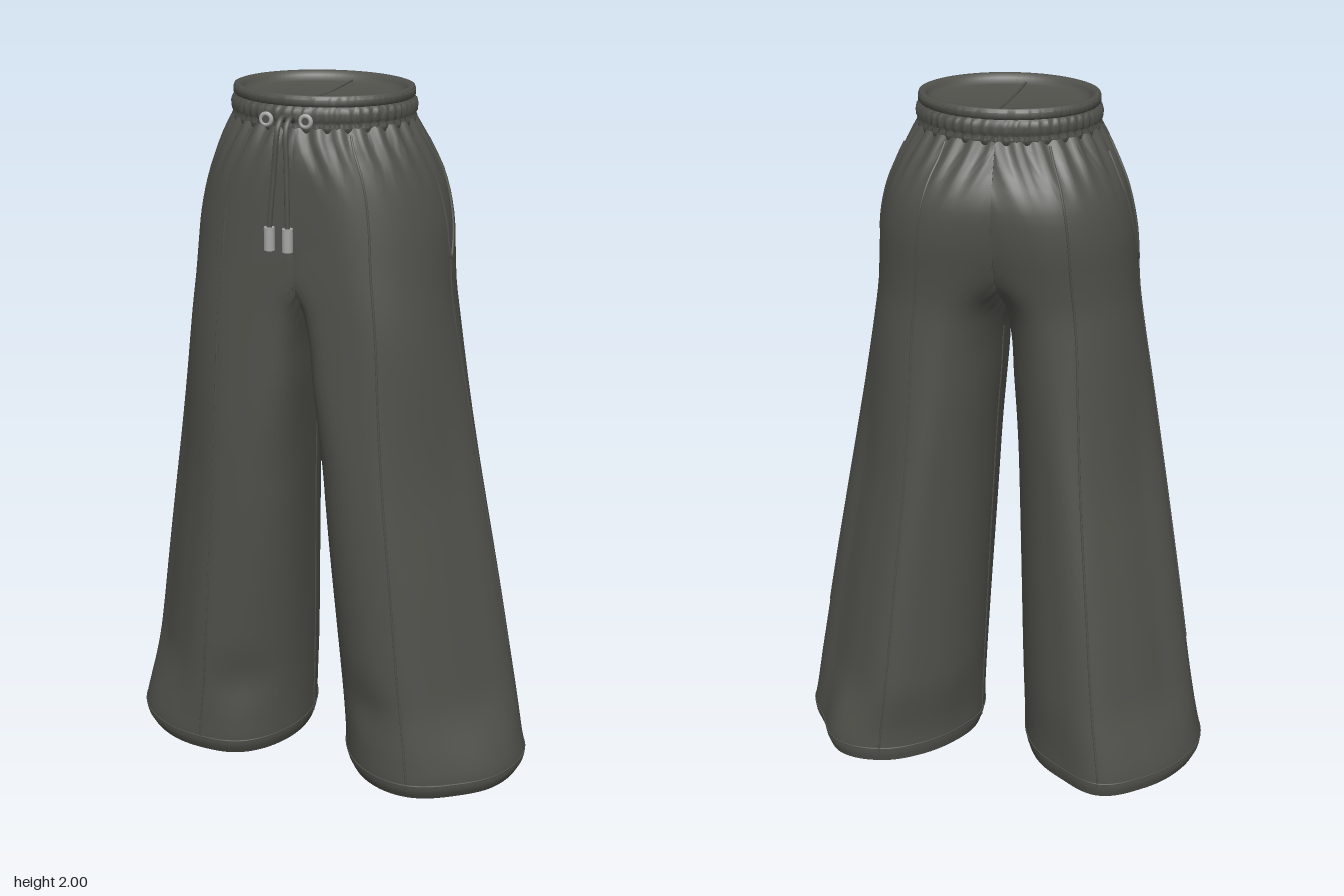
import * as THREE from 'three';
import { toCreasedNormals } from 'three/addons/utils/BufferGeometryUtils.js';

const fabric = new THREE.MeshStandardMaterial({ color: 0x50514b });
fabric.name = 'charcoal fabric';
const metal = new THREE.MeshStandardMaterial({ color: 0xa6a6a4 });
metal.name = 'silver metal';

// Leg profile: height, outer x, centre x, inner x, front z, back z
const PROFILE = [
  [0, 0.595, 0.335, 0.085, 0.28, -0.285],
  [0.035, 0.61, 0.335, 0.074, 0.297, -0.293],
  [0.1, 0.6, 0.33, 0.072, 0.298, -0.29],
  [0.3, 0.565, 0.305, 0.064, 0.292, -0.28],
  [0.6, 0.515, 0.27, 0.052, 0.29, -0.26],
  [1, 0.445, 0.215, 0.034, 0.29, -0.23],
  [1.2, 0.41, 0.19, 0.021, 0.29, -0.215],
  [1.36, 0.382, 0.17, 0.009, 0.29, -0.206],
  [1.46, 0.367, 0.15, -0.03, 0.29, -0.205],
  [1.55, 0.36, 0.125, -0.17, 0.29, -0.218],
  [1.65, 0.351, 0.1, -0.27, 0.29, -0.235],
  [1.75, 0.328, 0.07, -0.3, 0.29, -0.237],
  [1.82, 0.299, 0.04, -0.3, 0.288, -0.214],
  [1.88, 0.267, 0.01, -0.28, 0.278, -0.18],
  [1.92, 0.245, 0, -0.25, 0.262, -0.16],
];

// Roundness of the section every 30 degrees, from the outside towards the front
const MID_SHAPE = [1, 0.87, 0.88, 1, 1.02, 1.03, 1, 0.96, 0.95, 1, 0.88, 0.85];
const LEFT_HEM = [0.99, 1, 0.95, 1, 1.02, 1.02, 1, 0.9, 0.88, 0.94, 0.99, 0.89];
const RIGHT_HEM = [0.99, 1, 0.955, 0.95, 1.03, 1.03, 1, 0.95, 0.93, 1.03, 0.95, 0.94];

// Smooth (Hermite) lookup of one profile column at height y
function track(y, col) {
  const last = PROFILE.length - 1;
  let i = 0;
  while (i < last - 1 && y > PROFILE[i + 1][0]) i++;
  const slope = (k) => {
    const a = PROFILE[Math.max(k - 1, 0)], b = PROFILE[Math.min(k + 1, last)];
    return (b[col] - a[col]) / (b[0] - a[0]);
  };
  const a = PROFILE[i], b = PROFILE[i + 1], h = b[0] - a[0], t = (y - a[0]) / h;
  const t2 = t * t, t3 = t2 * t;
  return (2 * t3 - 3 * t2 + 1) * a[col] + (t3 - 2 * t2 + t) * h * slope(i)
    + (3 * t2 - 2 * t3) * b[col] + (t3 - t2) * h * slope(i + 1);
}

// Smooth lookup in a ring of 12 values
function around(shape, a) {
  const f = (((a / (Math.PI * 2)) % 1) + 1) % 1 * 12, i = Math.floor(f), t = f - i;
  const [p, q, r, s] = [11, 0, 1, 2].map((d) => shape[(i + d) % 12]);
  return q + 0.5 * t * (r - p + t * (2 * p - 5 * q + 4 * r - s + t * (3 * (q - r) + s - p)));
}

const bump = (v, centre, width) => Math.exp(-(((v - centre) / width) ** 2));
const pow = (v, e) => Math.sign(v) * Math.abs(v) ** e;
const { lerp, smoothstep } = THREE.MathUtils;

// Point on a leg; angle 0 = outside, PI/2 = front, PI = inside
function legPoint(side, a, y) {
  const [xo, cx, xi, f, b] = [1, 2, 3, 4, 5].map((c) => track(y, c));
  const c = Math.cos(a), s = Math.sin(a);
  const low = smoothstep(1.2 - y, 0, 1.2);
  // The front inner corner is squarer, so the front stays flat above the crotch
  const square = c < 0 && s > 0 ? smoothstep(y, 0.1, 1) + 2 * smoothstep(y, 0.9, 1.4) : 0;
  const e = 2 / (2 + square);
  // Folded leg shape, turning into the hem outline near the floor
  const hem = around(side > 0 ? LEFT_HEM : RIGHT_HEM, a);
  const body = lerp(around(MID_SHAPE, a), 1, smoothstep(y, 0.85, 1.45));
  // Gathers below the waistband
  const gathers = 0.026 * Math.cos(28 * a) * bump(y, 1.9, 0.085);
  const k = lerp(hem, body, smoothstep(y, 0.06, 0.3)) + gathers;
  let x = cx + (c > 0 ? xo - cx : cx - xi) * pow(c, e) * k;
  let z = (f + b) / 2 + ((f - b) / 2) * pow(s, e) * k;
  // Fabric break on the front above the hem
  z -= 0.016 * bump(y, 0.25, 0.08) * bump(a, 2, 0.4);
  x = Math.max(x, 0);
  if (side < 0) z -= 0.035 * low;
  const lift = 0.02 * (0.5 - 0.5 * s) * Math.max(0, 1 - y / 0.3);
  return new THREE.Vector3(side * x - lerp(0.007, 0.003, low), y + lift, z);
}

// Skin closed rings of points, listed from bottom to top
function loft(rings, flip, crease) {
  const n = rings[0].length, index = [];
  for (let r = 0; r < rings.length - 1; r++) {
    for (let i = 0; i < n; i++) {
      const j = (i + 1) % n;
      const a = r * n + i, b = r * n + j, c = a + n, d = b + n;
      if (flip) index.push(a, b, c, b, d, c);
      else index.push(a, c, b, b, c, d);
    }
  }
  const g = new THREE.BufferGeometry().setFromPoints(rings.flat());
  g.setIndex(index);
  return toCreasedNormals(g, crease);
}

function add(parent, name, geometry, material = fabric) {
  const mesh = new THREE.Mesh(geometry, material);
  mesh.name = name;
  parent.add(mesh);
  return mesh;
}

function tube(points, radius, segments = 40, closed = false) {
  return new THREE.TubeGeometry(new THREE.CatmullRomCurve3(points, closed), segments, radius, 6, closed);
}

function makeLeg(side) {
  const leg = new THREE.Group();
  leg.name = side > 0 ? 'leftLeg' : 'rightLeg';
  const N = 180, rings = [];
  const ring = (y) => Array.from({ length: N }, (_, i) => legPoint(side, (i / N) * Math.PI * 2, y));
  const hem = ring(0);
  const centre = new THREE.Vector3(side * 0.335, 0.018, -0.01);
  rings.push(hem.map(() => centre.clone()), hem);
  for (const y of [0.012, 0.024, 0.036, 0.05, 0.07, 0.09]) rings.push(ring(y));
  for (let i = 0; i <= 60; i++) rings.push(ring(0.12 + 0.03 * i));
  add(leg, 'legFabric', loft(rings, side < 0, 0.8));

  // Seams follow the surface from y0 to y1 at an angle given by a function of t
  const seam = (name, y0, y1, angle, radius = 0.0035) => {
    const pts = Array.from({ length: 49 }, (_, i) =>
      legPoint(side, angle(i / 48), y0 + ((y1 - y0) * i) / 48));
    add(leg, name, tube(pts, radius, 96));
  };
  const lean = (t) => Math.PI / 2 - 0.58 * t ** 2.2;
  seam('frontSeam', 0.03, 1.9, lean);
  seam('backSeam', 0.03, 1.9, (t) => -lean(t));
  seam('sideSeam', 0.4, 1.55, (t) => 0.04 * t);
  seam('innerSeam', 0.03, 1.33, () => Math.PI);
  seam('pocketFrontEdge', 1.55, 1.88, (t) => 0.04 + 0.13 * Math.sqrt(t), 0.005);
  seam('pocketBackEdge', 1.55, 1.86, (t) => 0.04 - 0.24 * Math.sqrt(t), 0.005);
  const stitch = Array.from({ length: 72 }, (_, i) => legPoint(side, (i / 72) * Math.PI * 2, 0.05));
  add(leg, 'hemStitch', tube(stitch, 0.0025, 144, true));
  return leg;
}

function makeWaistband() {
  const band = new THREE.Group();
  band.name = 'waistband';
  // Height, offset from the waist oval, depth of the gathers
  const rows = [
    [1.895, -0.012, 0], [1.905, 0.002, 0.003], [1.918, 0.006, 0.003], [1.928, 0.002, 0.003],
    [1.936, 0.007, 0.003], [1.952, 0.008, 0.003], [1.964, 0.005, 0.003], [1.971, -0.002, 0.001],
    [1.977, 0.004, 0], [1.99, 0.004, 0], [1.998, 0.001, 0], [2, -0.005, 0],
    [1.998, -0.014, 0], [1.988, -0.021, 0], [1.978, -0.026, 0], [1.974, -0.04, 0],
  ];
  const N = 224;
  const rings = rows.map(([y, off, depth]) => Array.from({ length: N }, (_, i) => {
    const a = (i / N) * Math.PI * 2, r = off + depth * Math.cos(56 * a);
    return new THREE.Vector3(-0.007 + (0.243 + r) * Math.cos(a), y, 0.05 + (0.211 + r) * Math.sin(a));
  }));
  rings.push(rings[0].map(() => new THREE.Vector3(-0.007, 1.968, 0.05)));
  add(band, 'elasticBand', loft(rings, false, 0.9));
  const line = [[0.008, 1.978, -0.13], [0.002, 1.973, -0.04], [-0.005, 1.969, 0.05],
    [-0.014, 1.973, 0.14], [-0.022, 1.978, 0.23]];
  add(band, 'innerSeam', tube(line.map((p) => new THREE.Vector3(...p)), 0.003));
  return band;
}

function makeDrawstring() {
  const group = new THREE.Group();
  group.name = 'drawstring';
  // Two hanging cords, each with a metal tip
  for (const [x0, x1, z] of [[-0.035, -0.06, 0.322], [-0.012, -0.008, 0.325]]) {
    const path = [[x0, 1.935, 0.262], [x0, 1.945, 0.29], [x0 - 0.002, 1.925, 0.312],
      [(x0 + x1) / 2, 1.8, z - 0.003], [x1, 1.66, z]];
    add(group, 'cord', tube(path.map((p) => new THREE.Vector3(...p)), 0.008));
    add(group, 'cordTip', new THREE.CylinderGeometry(0.0145, 0.0145, 0.062, 20), metal)
      .position.set(x1, 1.634, z);
  }
  // Metal eyelets with a short sleeve
  for (const [x, z] of [[-0.083, 0.27], [0.025, 0.268]]) {
    add(group, 'eyeletSleeve', new THREE.CylinderGeometry(0.012, 0.012, 0.03, 20).rotateX(Math.PI / 2))
      .position.set(x, 1.937, z - 0.004);
    add(group, 'eyelet', new THREE.TorusGeometry(0.014, 0.006, 10, 24), metal).position.set(x, 1.937, z + 0.007);
  }
  return group;
}

export function createModel() {
  const model = new THREE.Group();
  model.name = 'wideLegTrousers';
  model.add(makeLeg(1), makeLeg(-1), makeWaistband(), makeDrawstring());
  return model;
}
